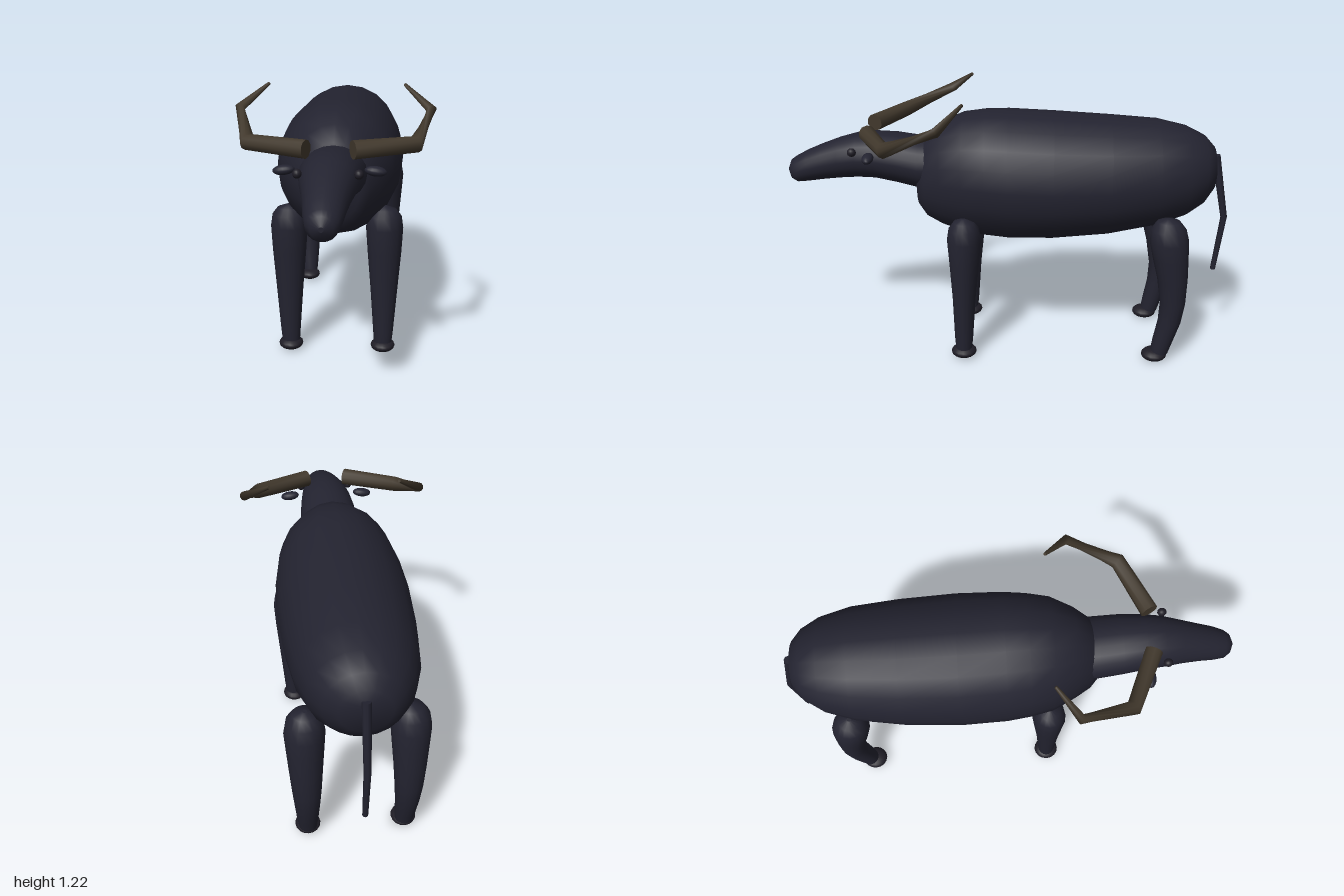
import * as THREE from 'three';

const hide = new THREE.MeshStandardMaterial({ color: 0x232330 });
hide.name = 'dark hide';
const horn = new THREE.MeshStandardMaterial({ color: 0x41382c });
horn.name = 'brown horn';
const hoofMat = new THREE.MeshStandardMaterial({ color: 0x1f1d26 });
hoofMat.name = 'hoof';

const X = new THREE.Vector3(1, 0, 0);
const Y = new THREE.Vector3(0, 1, 0);
const Z = new THREE.Vector3(0, 0, 1);

// Skin over elliptical sections [x, y, z, ru, rv]. With an axis the rings stay
// square to it; without one they follow the bends of the path.
function loft(sections, sides, axis) {
  const pos = [], index = [];
  const centres = sections.map(s => new THREE.Vector3(s[0], s[1], s[2]));
  const last = sections.length - 1;
  const dir = (a, b) => centres[b].clone().sub(centres[a]).normalize();
  const ring = i => {
    const t = axis ? axis.clone() : new THREE.Vector3();
    if (!axis) {
      if (i > 0) t.add(dir(i - 1, i));
      if (i < last) t.add(dir(i, i + 1));
      t.normalize();
    }
    const u = axis ? X.clone() : Z.clone().cross(t).normalize();
    const v = t.clone().cross(u);
    const [, , , ru, rv = ru] = sections[i];
    const start = pos.length / 3;
    for (let j = 0; j < sides; j++) {
      const a = (j / sides) * Math.PI * 2;
      const p = centres[i].clone().addScaledVector(u, ru * Math.cos(a)).addScaledVector(v, rv * Math.sin(a));
      pos.push(p.x, p.y, p.z);
    }
    return start;
  };
  const starts = sections.map((s, i) => ring(i));
  for (let i = 0; i < last; i++) {
    for (let j = 0; j < sides; j++) {
      const k = (j + 1) % sides;
      const a = starts[i] + j, b = starts[i] + k, c = starts[i + 1] + j, d = starts[i + 1] + k;
      index.push(a, b, c, b, d, c);
    }
  }
  // flat end caps with their own vertices
  for (const i of [0, last]) {
    const s = ring(i);
    for (let j = 1; j < sides - 1; j++) {
      if (i === 0) index.push(s, s + j + 1, s + j);
      else index.push(s, s + j, s + j + 1);
    }
  }
  const g = new THREE.BufferGeometry();
  g.setAttribute('position', new THREE.Float32BufferAttribute(pos, 3));
  g.setIndex(index);
  g.computeVertexNormals();
  return g;
}

// [z, bottom, top, half width] -> section
const slice = ([z, lo, hi, w]) => [0, (lo + hi) / 2, z, w, (hi - lo) / 2];

export function createModel() {
  const model = new THREE.Group();
  const add = (name, geometry, material) => {
    const m = new THREE.Mesh(geometry, material);
    m.name = name;
    model.add(m);
    return m;
  };
  const blob = (name, material, x, y, z, rx, ry, rz) => {
    const m = add(name, new THREE.SphereGeometry(1, 16, 10), material);
    m.position.set(x, y, z);
    m.scale.set(rx, ry, rz);
    return m;
  };

  // barrel body, tail end to shoulders
  add('body', loft([
    [-0.925, 0.86, 0.9, 0.01], [-0.915, 0.77, 0.965, 0.105], [-0.87, 0.705, 1.015, 0.16],
    [-0.79, 0.65, 1.055, 0.21], [-0.66, 0.605, 1.085, 0.25], [-0.45, 0.562, 1.1, 0.277],
    [-0.2, 0.538, 1.115, 0.29], [0, 0.536, 1.125, 0.283], [0.1, 0.546, 1.123, 0.27],
    [0.2, 0.562, 1.11, 0.248], [0.3, 0.593, 1.07, 0.195], [0.37, 0.63, 1.01, 0.15],
    [0.405, 0.68, 0.95, 0.11], [0.42, 0.78, 0.84, 0.02],
  ].map(slice), 20, Z), hide);

  // neck, head and muzzle in one taper
  add('head', loft([
    [0.3, 0.75, 0.99, 0.14], [0.4, 0.765, 1.0, 0.138], [0.5, 0.79, 1.015, 0.133],
    [0.6, 0.81, 1.02, 0.122], [0.68, 0.812, 1.012, 0.112], [0.76, 0.806, 0.99, 0.096],
    [0.84, 0.797, 0.96, 0.083], [0.91, 0.787, 0.93, 0.074], [0.96, 0.782, 0.903, 0.062],
    [0.985, 0.795, 0.885, 0.043], [1.0, 0.83, 0.85, 0.01],
  ].map(slice), 20, Z), hide);

  for (const [side, s] of [['left', 1], ['right', -1]]) {
    add(side + 'Horn', loft([
      [s * 0.09, 1.035, 0.615, 0.038], [s * 0.332, 1.036, 0.505, 0.034],
      [s * 0.397, 1.132, 0.28, 0.021], [s * 0.287, 1.219, 0.18, 0.007],
    ], 10), horn);

    blob(side + 'Eye', hoofMat, s * 0.117, 0.957, 0.685, 0.018, 0.019, 0.02);
    blob(side + 'Ear', hide, s * 0.178, 0.95, 0.603, 0.044, 0.02, 0.025).rotation.z = -s * 0.12;

    // straight tapering front leg
    add(side + 'FrontLeg', loft([
      [0.21, 0.04, 0.2, 0.04, 0.037], [0.211, 0.1, 0.199, 0.045, 0.042], [0.212, 0.3, 0.195, 0.06, 0.052],
      [0.212, 0.48, 0.191, 0.075, 0.067], [0.211, 0.59, 0.19, 0.082, 0.076], [0.21, 0.645, 0.19, 0.075, 0.067],
      [0.21, 0.675, 0.19, 0.052, 0.045], [0.21, 0.69, 0.19, 0.01, 0.01],
    ].map(p => [s * p[0], ...p.slice(1)]), 16, Y), hide);

    // bowed hind leg
    add(side + 'HindLeg', loft([
      [0.21, 0.04, -0.7, 0.04, 0.041], [0.211, 0.1, -0.713, 0.046, 0.046], [0.212, 0.2, -0.737, 0.053, 0.052],
      [0.213, 0.3, -0.746, 0.061, 0.057], [0.214, 0.42, -0.737, 0.07, 0.068], [0.214, 0.52, -0.722, 0.078, 0.079],
      [0.214, 0.6, -0.711, 0.084, 0.086], [0.213, 0.655, -0.706, 0.075, 0.076],
      [0.212, 0.69, -0.704, 0.05, 0.05], [0.211, 0.702, -0.704, 0.01, 0.01],
    ].map(p => [s * p[0], ...p.slice(1)]), 16, Y), hide);

    blob(side + 'FrontHoof', hoofMat, s * 0.21, 0.028, 0.2, 0.055, 0.028, 0.058);
    blob(side + 'HindHoof', hoofMat, s * 0.21, 0.028, -0.678, 0.055, 0.028, 0.058);
  }

  // hanging tail
  add('tail', loft([
    [0, 0.925, -0.925, 0.019], [0, 0.63, -0.985, 0.015], [0, 0.367, -0.957, 0.012],
  ], 8), hide);

  return model;
}
